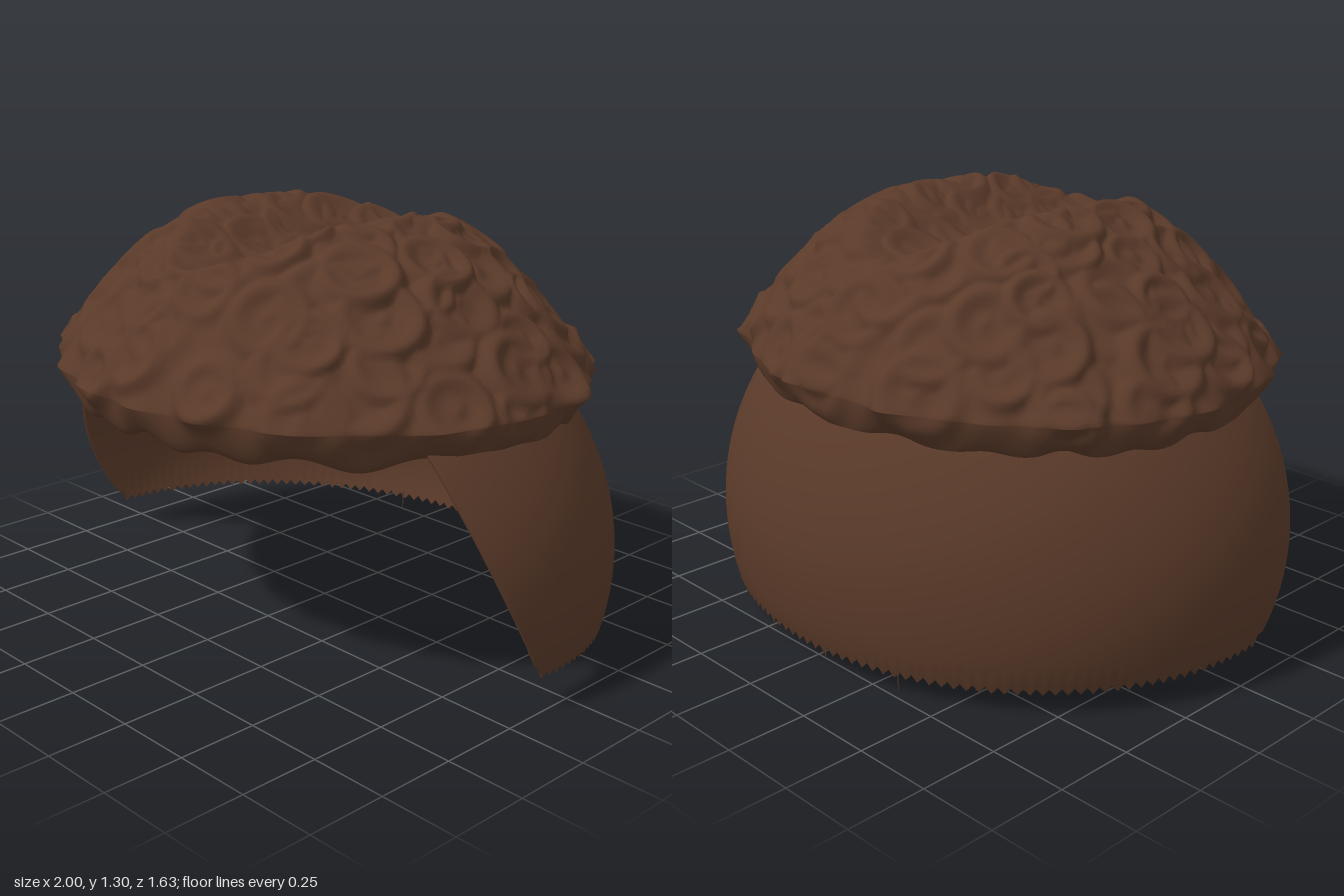
import * as THREE from 'three';
import { toCreasedNormals } from 'three/addons/utils/BufferGeometryUtils.js';

// Surface swept round the y axis: point(angle, row, column) gives each vertex, rows run top to bottom.
function wrapGrid(columns, rows, point) {
  const positions = [], index = [];
  for (let i = 0; i < columns; i++) {
    for (let j = 0; j <= rows; j++) positions.push(...point((i / columns) * Math.PI * 2, j, i));
  }
  for (let i = 0; i < columns; i++) {
    for (let j = 0; j < rows; j++) {
      const a = i * (rows + 1) + j, b = ((i + 1) % columns) * (rows + 1) + j;
      index.push(a, a + 1, b, b, a + 1, b + 1);
    }
  }
  const geometry = new THREE.BufferGeometry();
  geometry.setAttribute('position', new THREE.Float32BufferAttribute(positions, 3));
  geometry.setIndex(index);
  geometry.computeVertexNormals();
  return geometry;
}

function seeded(seed) {
  return () => {
    seed = (seed * 16807) % 2147483647;
    return seed / 2147483647;
  };
}

// Smooth under-layer: a thin ellipsoid shell with the face opening cut away.
function shellPoint(theta, phi, inset = 0) {
  const s = Math.sin(theta);
  return [
    (1 - inset) * s * Math.sin(phi),
    0.27 + (0.86 - inset) * Math.cos(theta),
    0.05 + (0.87 - inset) * s * Math.cos(phi),
  ];
}

function shellEdge(phi) {
  let theta = 0.5;
  for (; theta < 2.2; theta += 0.002) {
    const [, y, z] = shellPoint(theta, phi);
    const openFront = y < 0.8 && z > 0.03 + 0.75 * y - 0.45 * y * y;
    if (openFront || y < 0.08 + 0.037 * z) break;
  }
  return theta;
}

function makeShell() {
  const rows = 28;
  const edges = [];
  const geometry = wrapGrid(320, rows * 2 + 1, (phi, j, i) => {
    edges[i] ??= shellEdge(phi);
    const inner = j > rows;
    const t = (inner ? rows * 2 + 1 - j : j) / rows;
    const p = shellPoint(edges[i] * t, phi, inner ? 0.01 : 0);
    // jagged hair tips along the nape
    if (t === 1 && p[1] < 0.13 && i % 2) p[1] += 0.02;
    return p;
  });
  return toCreasedNormals(geometry, 0.7);
}

// Curly top: a dome with a hollow along the middle and a rolled rim.
const rimCurve = new THREE.SplineCurve(
  [[1, 0.83], [0.995, 0.805], [0.98, 0.77], [0.958, 0.738], [0.93, 0.722], [0.9, 0.738], [0.87, 0.82]]
    .map(([r, y]) => new THREE.Vector2(r, y)),
);

function capBase(phi, r, yRim) {
  const c = Math.cos(phi);
  const x = 0.885 * r * Math.sin(phi);
  const z = (c > 0 ? 0.797 : 0.725) * r * c;
  if (yRim !== undefined) return new THREE.Vector3(x, yRim, z);
  const dome = 1.335 - 0.505 * r ** (2.05 + (c > 0 ? 0.65 : 0.5) * c * c);
  const hollow = 1.155 + 0.14 * THREE.MathUtils.smoothstep(Math.abs(x), 0, 0.34);
  // rounded minimum of the two heights
  const blend = Math.hypot(dome - hollow, 0.02);
  return new THREE.Vector3(x, (dome + hollow - blend) / 2, z);
}

function makeCurls() {
  const random = seeded(71);
  const curls = [];
  const count = 110;
  for (let k = 0; k < count; k++) {
    const r = Math.sqrt((k + 0.5) / count);
    const phi = (k * 2.39996 + (random() - 0.5) * 0.3) % (Math.PI * 2);
    curls.push({
      center: capBase(phi, r),
      radius: 0.105 + random() * 0.05,
      lift: 0.7 + random() * 0.5,
      turn: random() * Math.PI * 2,
    });
  }
  return curls;
}

// Raised ring with a dimple, slightly higher on one side like a coiled lock.
function curlHeight(p, curls) {
  let height = 0;
  for (const { center, radius, lift, turn } of curls) {
    const d = p.distanceTo(center) / radius;
    if (d > 1.3) continue;
    const side = 1 + 0.3 * Math.cos(Math.atan2(p.x - center.x, p.z - center.z) - turn);
    const ring = Math.exp(-(((d - 0.72) / (d > 0.72 ? 0.24 : 0.3)) ** 2));
    const knot = 0.5 * Math.exp(-((d / 0.3) ** 2));
    height = Math.max(height, lift * side * (ring + knot));
  }
  return height;
}

function makeCap() {
  const curls = makeCurls();
  const domeRows = 100, rimRows = 20;
  return wrapGrid(320, domeRows + rimRows, (phi, j) => {
    const wave = Math.sin(phi * 19 + 1.5 * Math.sin(phi * 3)) + 0.5 * Math.sin(phi * 11 + 1);
    let p, strength = 0.03;
    if (j <= domeRows) {
      const r = j / domeRows;
      p = capBase(phi, r);
      strength *= 1 - 0.6 * Math.exp(-((p.x / 0.2) ** 2 + (p.z / 0.45) ** 2));
      const scallop = 1 + 0.015 * wave * r ** 12;
      p.multiply(new THREE.Vector3(scallop, 1, scallop));
    } else {
      const t = (j - domeRows) / rimRows;
      const q = rimCurve.getPoint(t);
      p = capBase(phi, q.x * (1 + 0.015 * wave * (1 - t)), q.y);
      p.y += 0.016 * wave * Math.sin(Math.PI * t);
      strength *= 1 - t;
    }
    const out = new THREE.Vector3(p.x, p.y - 0.6, p.z).normalize();
    p.addScaledVector(out, strength * curlHeight(p, curls) - 0.008);
    return p.toArray();
  });
}

export function createModel() {
  const model = new THREE.Group();
  model.name = 'curlyHair';
  const brown = new THREE.MeshStandardMaterial({ color: 0x5a3a29 });
  brown.name = 'brown hair';

  const add = (name, geometry) => {
    const mesh = new THREE.Mesh(geometry, brown);
    mesh.name = name;
    model.add(mesh);
    return mesh;
  };
  add('smoothUnderLayer', makeShell());
  add('curlyTop', makeCap());

  // Fine stray hairs hanging from the nape
  [-0.34, -0.07, 0.2, 0.53].forEach((x, k) => {
    const length = 0.08 - 0.008 * k;
    const hair = add('strayHair', new THREE.ConeGeometry(0.004, length, 4));
    hair.rotation.x = Math.PI;
    hair.position.set(x, 0.008 * k + length / 2, 0.065 - 0.845 * Math.sqrt(1 - x * x));
  });
  return model;
}
